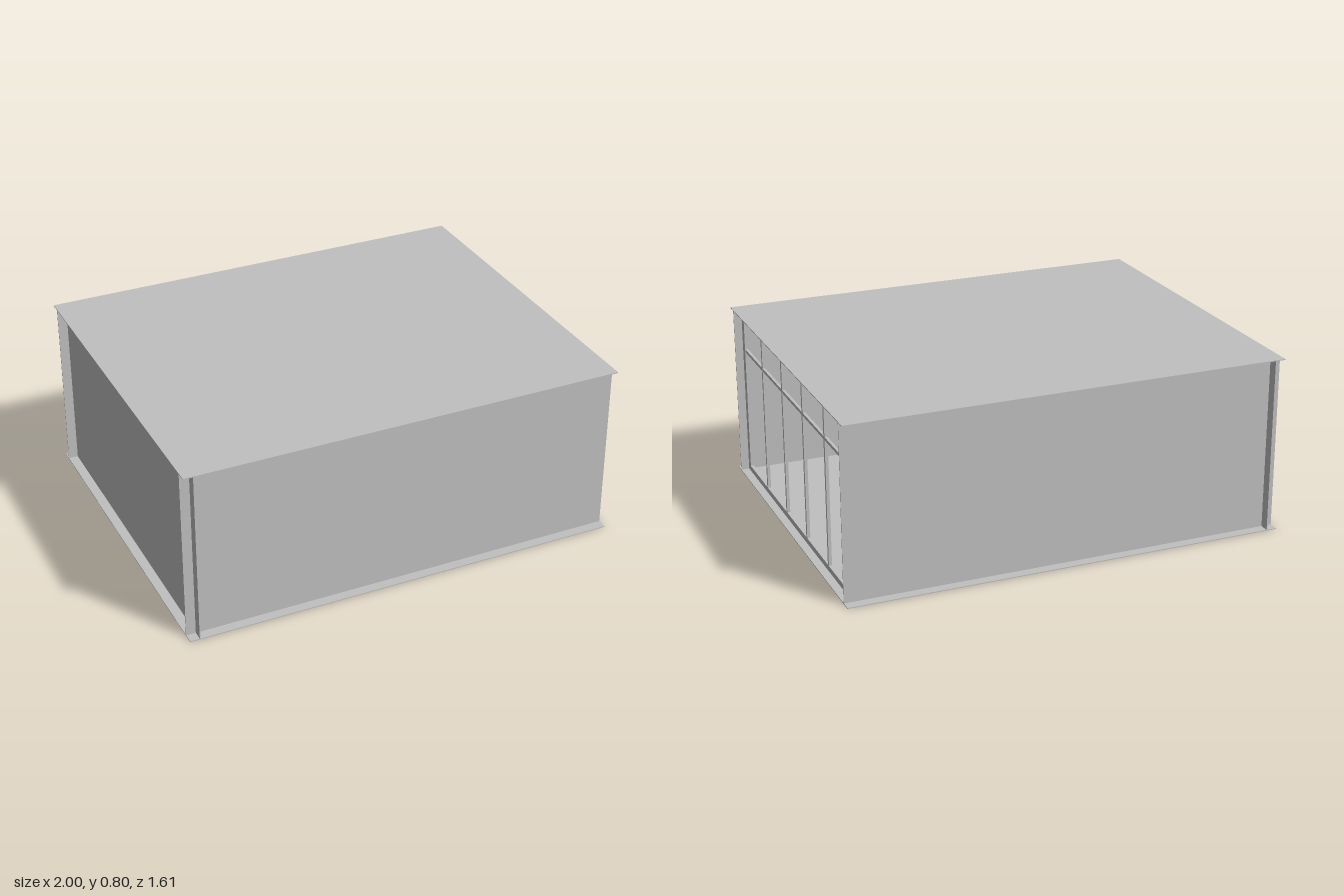
import * as THREE from 'three';

export function createModel() {
  const model = new THREE.Group();
  const grey = new THREE.MeshStandardMaterial({ color: 0xc0c0c0 });
  grey.name = 'light grey';

  // Box given by its lower and upper corners
  const slab = (name, x0, x1, y0, y1, z0, z1, parent = model) => {
    const mesh = new THREE.Mesh(new THREE.BoxGeometry(x1 - x0, y1 - y0, z1 - z0), grey);
    mesh.position.set((x0 + x1) / 2, (y0 + y1) / 2, (z0 + z1) / 2);
    mesh.name = name;
    parent.add(mesh);
    return mesh;
  };

  const T = 0.004;      // sheet thickness
  const H = 0.8;        // overall height
  const DEPTH = 0.807;  // half depth of floor and roof
  const WALL = 0.76;    // side wall position
  const BACK = -0.955;  // end wall position
  const GLAZE = 0.955;  // window plane

  // Floor and roof sheets
  slab('floor', -1, 1, 0, T, -DEPTH, DEPTH);
  slab('roof', -1, 1, H - T, H, -DEPTH, DEPTH);

  // Walls cross at the closed corners, leaving short fins
  for (const s of [1, -1]) {
    slab(s > 0 ? 'frontWall' : 'backWall', -1, 1, T, H - T, s * WALL - T / 2, s * WALL + T / 2);
  }
  slab('endWall', BACK - T / 2, BACK + T / 2, T, H - T, -DEPTH, DEPTH);

  // Lowered ceiling with its drop face
  slab('loweredCeiling', BACK, 0.51, 0.715, 0.715 + T, -WALL, WALL);
  slab('ceilingDrop', 0.51 - T, 0.51, 0.715 + T, H - T, -WALL, WALL);

  // Window frame around the open end
  const windowWall = new THREE.Group();
  windowWall.name = 'windowWall';
  model.add(windowWall);
  const outline = new THREE.Shape([[-WALL, T], [WALL, T], [WALL, H - T], [-WALL, H - T]]
    .map(([a, b]) => new THREE.Vector2(a, b)));
  outline.holes.push(new THREE.Path([[-0.725, 0.03], [-0.725, 0.765], [0.725, 0.765], [0.725, 0.03]]
    .map(([a, b]) => new THREE.Vector2(a, b))));
  const frame = new THREE.Mesh(
    new THREE.ExtrudeGeometry(outline, { depth: 0.015, bevelEnabled: false }), grey);
  frame.rotation.y = Math.PI / 2;
  frame.position.x = GLAZE - 0.0075;
  frame.name = 'windowFrame';
  windowWall.add(frame);

  // Mullions and transom
  for (const z of [-0.4475, -0.1475, 0.1475, 0.4475]) {
    slab('mullion', GLAZE - 0.007, GLAZE + 0.007, 0.03, 0.765, z - 0.007, z + 0.007, windowWall);
  }
  slab('transom', GLAZE - 0.0065, GLAZE + 0.0065, 0.601, 0.615, -0.725, 0.725, windowWall);

  // Low bench inside
  const bench = new THREE.Group();
  bench.name = 'bench';
  model.add(bench);
  slab('benchTop', -0.4, 0.1, 0.085, 0.091, -0.17, 0.17, bench);
  for (const z of [-0.137, 0.137]) {
    for (const x of [-0.36, 0.06]) {
      slab('benchLeg', x - 0.006, x + 0.006, T, 0.085, z - 0.006, z + 0.006, bench);
    }
  }

  return model;
}
